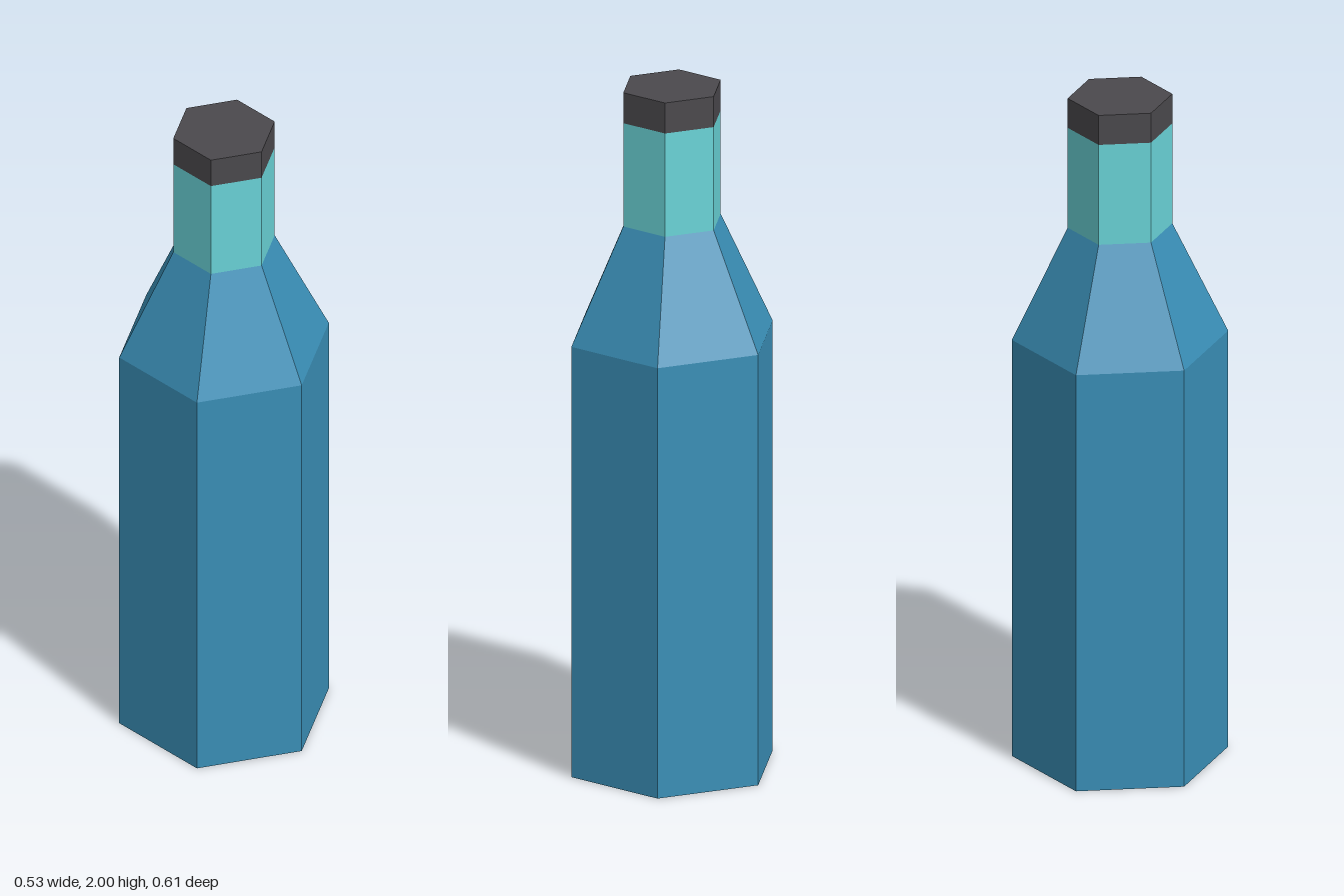
import * as THREE from 'three';

const SIDES = 6;
const BODY_R = 0.304;
const NECK_R = 0.147;

const material = (name, color) => {
  const m = new THREE.MeshStandardMaterial({ color, flatShading: true });
  m.name = name;
  return m;
};

export function createModel() {
  const group = new THREE.Group();
  group.name = 'bottle';

  const blue = material('blue glass', 0x3a8fb7);
  const teal = material('pale teal neck', 0x6ad4d8);
  const dark = material('dark cap', 0x4b494d);

  const add = (name, geometry, mat, y) => {
    const mesh = new THREE.Mesh(geometry, mat);
    mesh.name = name;
    mesh.position.y = y;
    group.add(mesh);
    return mesh;
  };

  // Open hexagonal sections, stacked edge to edge
  const section = (name, y0, y1, r0, r1, mat) =>
    add(name, new THREE.CylinderGeometry(r1, r0, y1 - y0, SIDES, 1, true), mat, (y0 + y1) / 2);

  section('body', 0, 1.27, BODY_R, BODY_R, blue);
  section('shoulder', 1.27, 1.605, BODY_R, NECK_R, blue);
  section('neck', 1.605, 1.91, NECK_R, NECK_R, teal);
  section('cap', 1.91, 2, NECK_R, NECK_R, dark);

  // Closing faces, with corners on the z axis like the sections
  const disc = (r) => new THREE.CircleGeometry(r, SIDES, Math.PI / 2);
  add('base', disc(BODY_R).rotateX(Math.PI / 2), blue, 0);
  add('capTop', disc(NECK_R).rotateX(-Math.PI / 2), dark, 2);

  return group;
}
